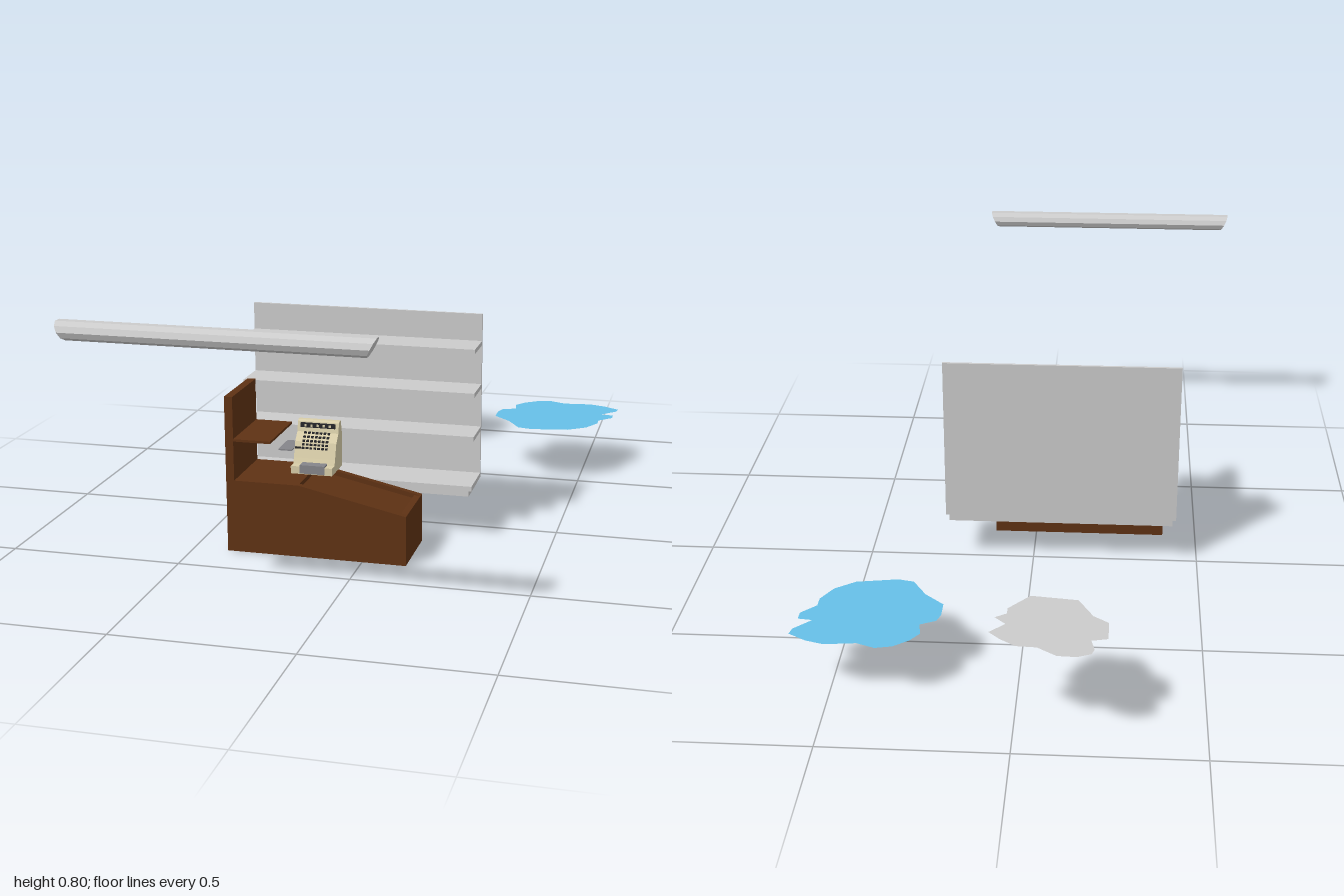
import * as THREE from 'three';

const mat = (color) => new THREE.MeshStandardMaterial({ color, flatShading: true, side: THREE.DoubleSide });
const grey = mat(0xcccccc), brown = mat(0x5f3214), blue = mat(0x66c0e8);
const beige = mat(0xd8cda8), dark = mat(0x26262a), steel = mat(0x85858a);

function add(parent, name, geometry, material) {
  const mesh = new THREE.Mesh(geometry, material);
  mesh.name = name;
  parent.add(mesh);
  return mesh;
}

// Box given by its lower and upper limits on each axis
function box(parent, name, material, [x0, x1], [y0, y1], [z0, z1]) {
  const mesh = add(parent, name, new THREE.BoxGeometry(x1 - x0, y1 - y0, z1 - z0), material);
  mesh.position.set((x0 + x1) / 2, (y0 + y1) / 2, (z0 + z1) / 2);
  return mesh;
}

const shapeOf = (points) => new THREE.Shape(points.map(([a, b]) => new THREE.Vector2(a, b)));

// Side profile (x, y) extruded from z0 to z1
function profile(points, z0, z1) {
  return new THREE.ExtrudeGeometry(shapeOf(points), { depth: z1 - z0, bevelEnabled: false }).translate(0, 0, z0);
}

// Flat puddle lying level, outline given as (x, z)
function puddle(parent, name, material, y, points) {
  const geometry = new THREE.ShapeGeometry(shapeOf(points.map(([x, z]) => [x, -z])));
  add(parent, name, geometry.rotateX(-Math.PI / 2).translate(0, y, 0), material);
}

function makeShelving() {
  const g = new THREE.Group();
  g.name = 'shelving';
  const width = [-0.432, 0.265];
  box(g, 'backPanel', grey, width, [0.15, 0.648], [-0.022, -0.014]);
  box(g, 'plinth', grey, [-0.422, 0.255], [0.13, 0.15], [-0.02, 0.112]);
  box(g, 'bottomShelf', grey, width, [0.15, 0.164], [-0.022, 0.121]);
  for (const y of [0.295, 0.425, 0.555]) box(g, 'shelf', grey, width, [y, y + 0.013], [-0.016, 0.098]);
  return g;
}

function makeCounter() {
  const g = new THREE.Group();
  g.name = 'counter';
  const z0 = 0.16, z1 = 0.368, drop = 0.014;
  // Body with a sunken sloping deck
  add(g, 'counterBody', profile([[-0.398, 0], [0.127, 0], [0.127, 0.145 - drop],
    [-0.185, 0.213 - drop], [-0.185, 0.213], [-0.398, 0.213]], z0, z1), brown);
  // Raised rim round the deck
  const rim = [[-0.185, 0.213 - drop], [0.127, 0.145 - drop], [0.127, 0.145], [-0.185, 0.213]];
  add(g, 'backRim', profile(rim, z0, z0 + 0.018), brown);
  add(g, 'frontRim', profile(rim, z1 - 0.018, z1), brown);
  box(g, 'endRim', brown, [0.107, 0.127], [0.125, 0.145], [z0, z1]);
  // Upright end board and its small shelf
  box(g, 'endBoard', brown, [-0.398, -0.374], [0.2, 0.459], [z0, z1]);
  box(g, 'sideShelf', brown, [-0.374, -0.265], [0.329, 0.336], [z0, z1]);
  return g;
}

function makeRegister() {
  const g = new THREE.Group();
  g.name = 'cashRegister';
  const x0 = -0.222, x1 = -0.1;
  // Body from its side profile (z, y)
  const side = [[0.208, 0.25], [0.29, 0.25], [0.283, 0.268], [0.268, 0.312], [0.245, 0.335],
    [0.238, 0.364], [0.232, 0.368], [0.219, 0.368], [0.212, 0.345], [0.208, 0.33]];
  const body = profile(side.map(([z, y]) => [-z, y]), x0, x1).rotateY(Math.PI / 2);
  add(g, 'registerBody', body, beige);
  box(g, 'drawerBase', beige, [x0, x1], [0.23, 0.252], [0.207, 0.315]);
  box(g, 'drawerFront', steel, [-0.195, -0.122], [0.232, 0.257], [0.285, 0.317]);
  box(g, 'display', dark, [-0.212, -0.11], [0.348, 0.361], [0.232, 0.245]);
  for (let i = 0; i < 5; i++) {
    const x = -0.2 + i * 0.018;
    box(g, 'displayDigit', beige, [x, x + 0.006], [0.351, 0.358], [0.244, 0.2465]);
  }
  // Rows of keys stepping down the front slope
  for (let row = 0; row < 5; row++) {
    const y = 0.293 + row * 0.0095, z = y < 0.312 ? 0.268 + (0.312 - y) * 0.34 : 0.268 - (y - 0.312);
    for (let col = 0; col < 7; col++) {
      const x = -0.2 + col * 0.0115;
      box(g, 'key', dark, [x, x + 0.007], [y, y + 0.005], [z - 0.012, z + 0.003]);
    }
  }
  box(g, 'lockStrip', dark, [x0 + 0.002, -0.203], [0.293, 0.298], [0.265, 0.277]);
  box(g, 'sideTray', steel, [-0.262, x0], [0.292, 0.296], [0.212, 0.302]);
  return g;
}

export function createModel() {
  const model = new THREE.Group();
  model.add(makeShelving(), makeCounter(), makeRegister());

  // Overhead tube, oval in section, with ends undercut towards the bottom
  const tube = new THREE.CylinderGeometry(1, 1, 2, 10).rotateZ(Math.PI / 2);
  const p = tube.attributes.position;
  for (let i = 0; i < p.count; i++) p.setX(i, p.getX(i) * (0.389 + 0.0125 * p.getY(i)));
  tube.scale(1, 0.025, 0.035).translate(-0.202, 0.775, 0.965);
  tube.computeVertexNormals();
  add(model, 'overheadTube', tube, grey);

  // Spilled patches behind the shelving
  puddle(model, 'bluePuddle', blue, 0.177, [[0.28, -0.77], [0.32, -0.8], [0.365, -0.81], [0.415, -0.79],
    [0.5, -0.8], [0.55, -0.785], [0.6, -0.755], [0.595, -0.73], [0.55, -0.685], [0.59, -0.68], [0.59, -0.65],
    [0.55, -0.61], [0.55, -0.575], [0.52, -0.52], [0.465, -0.48], [0.35, -0.46], [0.305, -0.47],
    [0.265, -0.535], [0.21, -0.585], [0.21, -0.64], [0.22, -0.67], [0.262, -0.69], [0.255, -0.735]]);
  puddle(model, 'greyPuddle', grey, 0.294, [[-0.2, -0.985], [-0.165, -1], [-0.115, -0.998], [-0.065, -0.963],
    [-0.012, -0.96], [0.03, -0.93], [0.06, -0.9], [0.02, -0.86], [0.05, -0.83], [0.02, -0.81], [0.02, -0.785],
    [-0.035, -0.72], [-0.16, -0.735], [-0.2, -0.81], [-0.24, -0.84], [-0.24, -0.915], [-0.198, -0.925],
    [-0.207, -0.965]]);
  return model;
}
